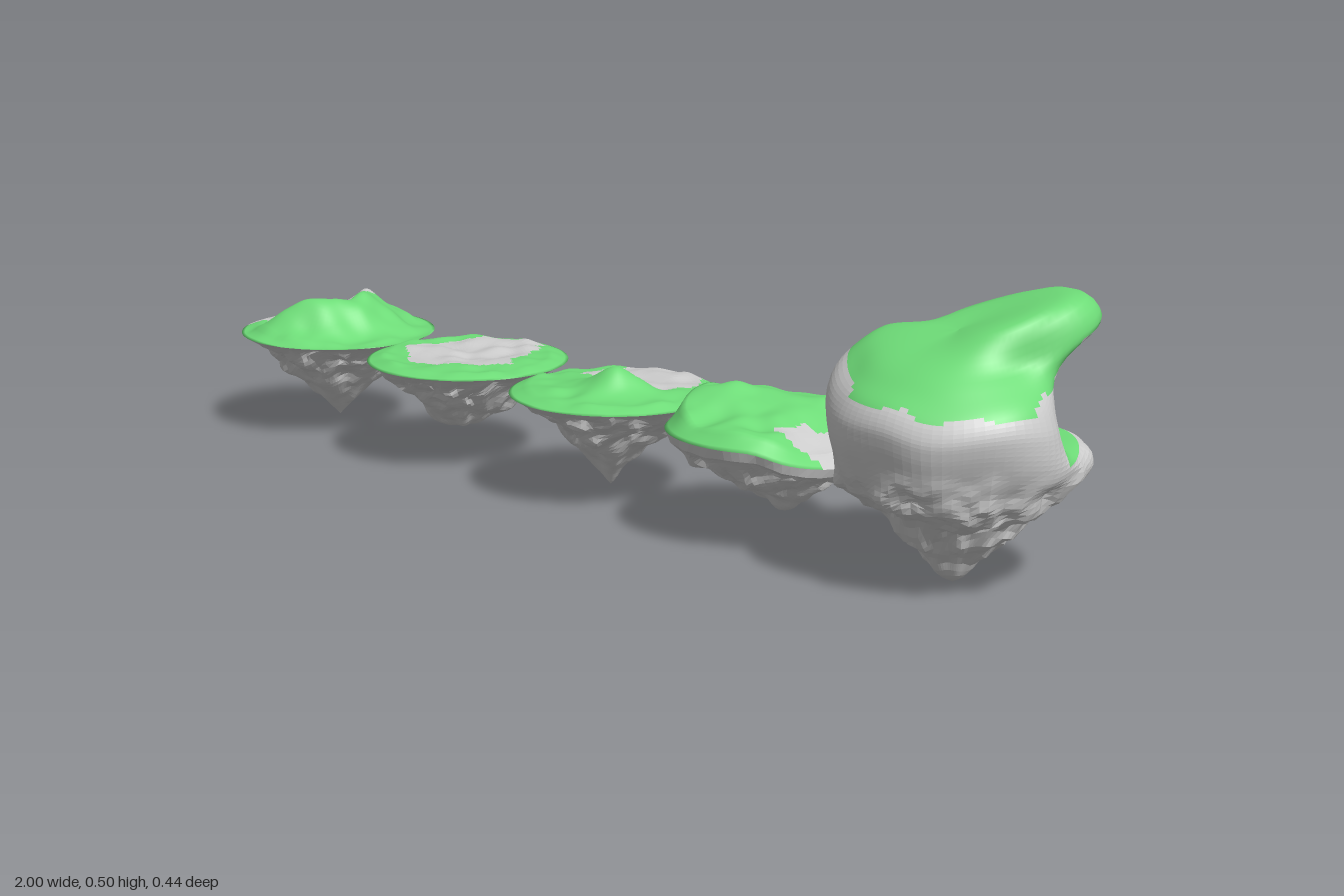
import * as THREE from 'three';

const SEG = 80, ROWS = 60;
const rockMaterial = new THREE.MeshStandardMaterial({ color: 0xcccccc, flatShading: true });
const grassMaterial = new THREE.MeshStandardMaterial({ color: 0x6edc78 });
const { smoothstep } = THREE.MathUtils;

// Seeded value noise, roughly -1..1
function hash(i, j, k) {
  const s = Math.sin(i * 127.1 + j * 311.7 + k * 74.7) * 43758.5453;
  return (s - Math.floor(s)) * 2 - 1;
}
function noise(x, y, z) {
  const c = [x, y, z].map(Math.floor);
  const f = [x, y, z].map((v, i) => { const t = v - c[i]; return t * t * (3 - 2 * t); });
  let sum = 0;
  for (let n = 0; n < 8; n++) {
    const b = [n & 1, (n >> 1) & 1, n >> 2];
    const w = b.reduce((p, q, i) => p * (q ? f[i] : 1 - f[i]), 1);
    sum += w * hash(c[0] + b[0], c[1] + b[1], c[2] + b[2]);
  }
  return sum;
}
const rough = (x, y, z) => noise(x * 22, y * 22, z * 22) * 0.65 + noise(x * 50, y * 50, z * 50) * 0.35;
const bump = (x, z, cx, cz, r) => Math.exp(-((x - cx) ** 2 + (z - cz) ** 2) / (r * r));
const angleFrom = (a, axis) => Math.atan2(Math.sin(a - axis), Math.cos(a - axis));
const spline = (pts) => new THREE.SplineCurve(pts.map((p) => new THREE.Vector2(...p)));

// Closed skin of rings from the lower tip to the crown, split into rock and grass
function island(name, cx, pointAt, isGrass) {
  const positions = [], params = [];
  for (let j = 0; j <= ROWS; j++) {
    for (let i = 0; i < SEG; i++) {
      const a = (i / SEG) * Math.PI * 2, v = j / ROWS;
      const p = pointAt(a, v);
      positions.push(p.x, p.y, p.z);
      params.push({ a, v, p });
    }
  }
  const all = [], rock = [], grass = [];
  for (let j = 0; j < ROWS; j++) {
    for (let i = 0; i < SEG; i++) {
      const n = (i + 1) % SEG;
      const a = j * SEG + i, b = a + SEG, c = j * SEG + n, d = c + SEG;
      const tris = [];
      if (j > 0) tris.push(a, b, c);
      if (j < ROWS - 1) tris.push(c, b, d);
      all.push(...tris);
      (isGrass(params[a]) ? grass : rock).push(...tris);
    }
  }
  const base = new THREE.BufferGeometry();
  base.setAttribute('position', new THREE.Float32BufferAttribute(positions, 3));
  base.setIndex(all);
  base.computeVertexNormals();
  const group = new THREE.Group();
  group.name = name;
  for (const [part, index, material] of [['Rock', rock, rockMaterial], ['Grass', grass, grassMaterial]]) {
    const geometry = base.clone();
    geometry.setIndex(index);
    const mesh = new THREE.Mesh(geometry, material);
    mesh.name = name + part;
    group.add(mesh);
  }
  group.position.set(cx, 0, 0.01);
  return group;
}

// Disc-shaped island: jagged root below the rim, height rule above it
function discIsland({ name, cx, R, root, tip = [0, 0], top, bare, rim = () => 0.197, wobble = 0, seed }) {
  const rootCurve = spline(root);
  const pointAt = (a, v) => {
    const below = v < 0.5;
    const t = below ? v * 2 : 2 - v * 2;
    const edge = R * (1 + wobble * noise(Math.cos(a) * 2 + seed, Math.sin(a) * 2, seed));
    let x = Math.cos(a) * t * edge, z = Math.sin(a) * t * edge;
    const fade = Math.min(1, (1 - t) * 4);
    if (!below) return new THREE.Vector3(x, rim(x, z) + Math.min(1, (1 - t) * 6) * top(x, z), z);
    const ridge = rough(x + seed, 0, z) * 0.022 * Math.min(1, 0.2 + t * 5);
    const y = rim(x, z) - 0.197 + rootCurve.getPoint(t).y + fade * ridge;
    x += tip[0] * (1 - t) + fade * t * 0.016 * noise(x * 40, y * 40 + seed, z * 40);
    z += tip[1] * (1 - t) + fade * t * 0.016 * noise(x * 40 + 9, y * 40, z * 40 + seed);
    return new THREE.Vector3(x, y, z);
  };
  const isGrass = ({ v, p }) => v >= 0.5 && !bare(p.x, p.z, 0.025 * noise(p.x * 28 + seed, 0, p.z * 28));
  return island(name, cx, pointAt, isGrass);
}

const sharpRoot = [[0, 0.015], [0.04, 0.062], [0.08, 0.105], [0.12, 0.143], [0.16, 0.174], [0.2, 0.197]];
const bluntRoot = [[0, 0.066], [0.04, 0.076], [0.08, 0.104], [0.12, 0.142], [0.16, 0.174], [0.2, 0.197]];
const thickRoot = [[0, 0.055], [0.05, 0.082], [0.1, 0.117], [0.15, 0.148], [0.2, 0.182]];

// Tall island: plain side and hollow side profiles, blended around the axis
const plainSide = spline([[0, 0], [0.035, 0.025], [0.08, 0.075], [0.125, 0.125], [0.178, 0.16], [0.196, 0.195], [0.206, 0.23],
  [0.216, 0.27], [0.218, 0.305], [0.203, 0.34], [0.17, 0.37], [0.13, 0.395], [0.065, 0.42], [0, 0.435]]);
const hollowSide = spline([[0, 0], [0.035, 0.025], [0.08, 0.075], [0.14, 0.13], [0.195, 0.17], [0.225, 0.215], [0.205, 0.25],
  [0.12, 0.255], [0.075, 0.3], [0.105, 0.37], [0.18, 0.415], [0.238, 0.455], [0.18, 0.495], [0, 0.435]]);
const HOLLOW_AXIS = -0.92, LOBE_AXIS = -1.95;

// The overhang is narrow at the hollow and widens into the crown
function hollowWeight(a, v) {
  const d = angleFrom(a, HOLLOW_AXIS);
  const narrow = Math.exp(-((Math.abs(d) / 0.64) ** 2.6));
  return THREE.MathUtils.lerp(narrow, (0.5 + 0.5 * Math.cos(d)) ** 2, smoothstep(v, 0.82, 0.97));
}

function tallIsland() {
  const pointAt = (a, v) => {
    const w = hollowWeight(a, v);
    const q = plainSide.getPoint(v).lerp(hollowSide.getPoint(v), w);
    const c = Math.cos(a), s = Math.sin(a);
    const body = smoothstep(v, 0.28, 0.5);
    const ends = Math.min(1, v * 6, (1 - v) * 4);
    const x = q.x * c, z = q.x * s;
    const jag = ends * (1 - body) * 0.022, swell = ends * body * 0.01;
    // rounded lobe on the back, beside the overhang
    const lobe = Math.exp(-((angleFrom(a, LOBE_AXIS) / 0.33) ** 2)) * Math.exp(-(((v - 0.63) / 0.13) ** 2));
    const r = q.x + 0.032 * lobe + jag * rough(x, q.y + 5, z) + swell * noise(x * 9 + 3, q.y * 9, z * 9);
    // left shoulder stands higher, front edge lower
    const shoulder = smoothstep(v, 0.5, 0.75) * (1 - smoothstep(v, 0.75, 1));
    const y = q.y + jag * rough(x + 7, q.y, z) + swell * noise(x * 9, q.y * 9, z * 9 + 6)
      + shoulder * (0.04 * Math.max(0, -c) ** 2 - 0.015 * Math.max(0, s));
    return new THREE.Vector3(r * c, Math.max(0, y), r * s);
  };
  const isGrass = ({ a, v, p }) => {
    const w = hollowWeight(a, 0), n = 0.05 * noise(p.x * 20, p.y * 20, p.z * 20);
    const crown = v > 0.675 + 0.165 * w + n + 0.05 * Math.max(0, -Math.cos(a));
    const floor = w > 0.3 && v > 0.46 && v < 0.55 + n;
    return crown || floor;
  };
  return island('tallIsland', 0.787, pointAt, isGrass);
}

export function createModel() {
  const group = new THREE.Group();
  group.add(
    // crescent ridge around a bare hollow open to the side
    discIsland({
      name: 'crescentIsland', cx: -0.803, R: 0.197, root: sharpRoot, seed: 3,
      top: (x, z) => {
        const d = Math.hypot(x + 0.06, z) - 0.1;
        const ridge = Math.exp(-((d / (d > 0 ? 0.065 : 0.035)) ** 2)) * (0.2 + 0.8 * smoothstep(x, -0.11, 0));
        return 0.075 * ridge * (0.8 + 0.2 * bump(x, z, 0.02, 0.03, 0.09))
          + 0.04 * bump(x, z, -0.07, -0.03, 0.06) + 0.008 * noise(x * 25, 1, z * 25);
      },
      bare: (x, z, n) => x < 0.01 + n && Math.abs(z + 0.005) < 0.1 + n,
    }),
    // nearly flat, with a bare middle
    discIsland({
      name: 'flatIsland', cx: -0.412, R: 0.197, root: bluntRoot, tip: [-0.01, 0], seed: 11,
      top: (x, z) => 0.01 + 0.006 * noise(x * 25, 2, z * 25) - 0.006 * bump(x, z, 0, -0.02, 0.1),
      bare: (x, z, n) => Math.hypot(x + 0.015, z + 0.03) < 0.13 + n,
    }),
    // one small mound beside a bare patch
    discIsland({
      name: 'moundIsland', cx: -0.01, R: 0.197, root: sharpRoot, tip: [-0.01, 0], seed: 23,
      top: (x, z) => 0.012 + 0.04 * bump(x, z, 0.04, 0.03, 0.05) + 0.01 * bump(x, z, -0.03, 0.05, 0.08)
        + 0.006 * noise(x * 25, 3, z * 25),
      bare: (x, z, n) => Math.hypot(x, z + 0.085) < 0.115 + n,
    }),
    // uneven island drooping to one side
    discIsland({
      name: 'slopingIsland', cx: 0.386, R: 0.196, root: thickRoot, tip: [0.025, 0], seed: 37, wobble: 0.05,
      rim: (x) => 0.197 - 0.035 * smoothstep(x, 0.08, 0.2),
      top: (x, z) => 0.022 + 0.042 * bump(x, z, -0.11, 0, 0.1) + 0.02 * bump(x, z, 0.03, -0.05, 0.09)
        - 0.015 * bump(x, z, 0.12, 0.04, 0.06) + 0.008 * noise(x * 22, 4, z * 22),
      bare: (x, z, n) => Math.hypot(x - 0.135, z - 0.03) < 0.06 + n,
    }),
    tallIsland(),
  );
  return group;
}
